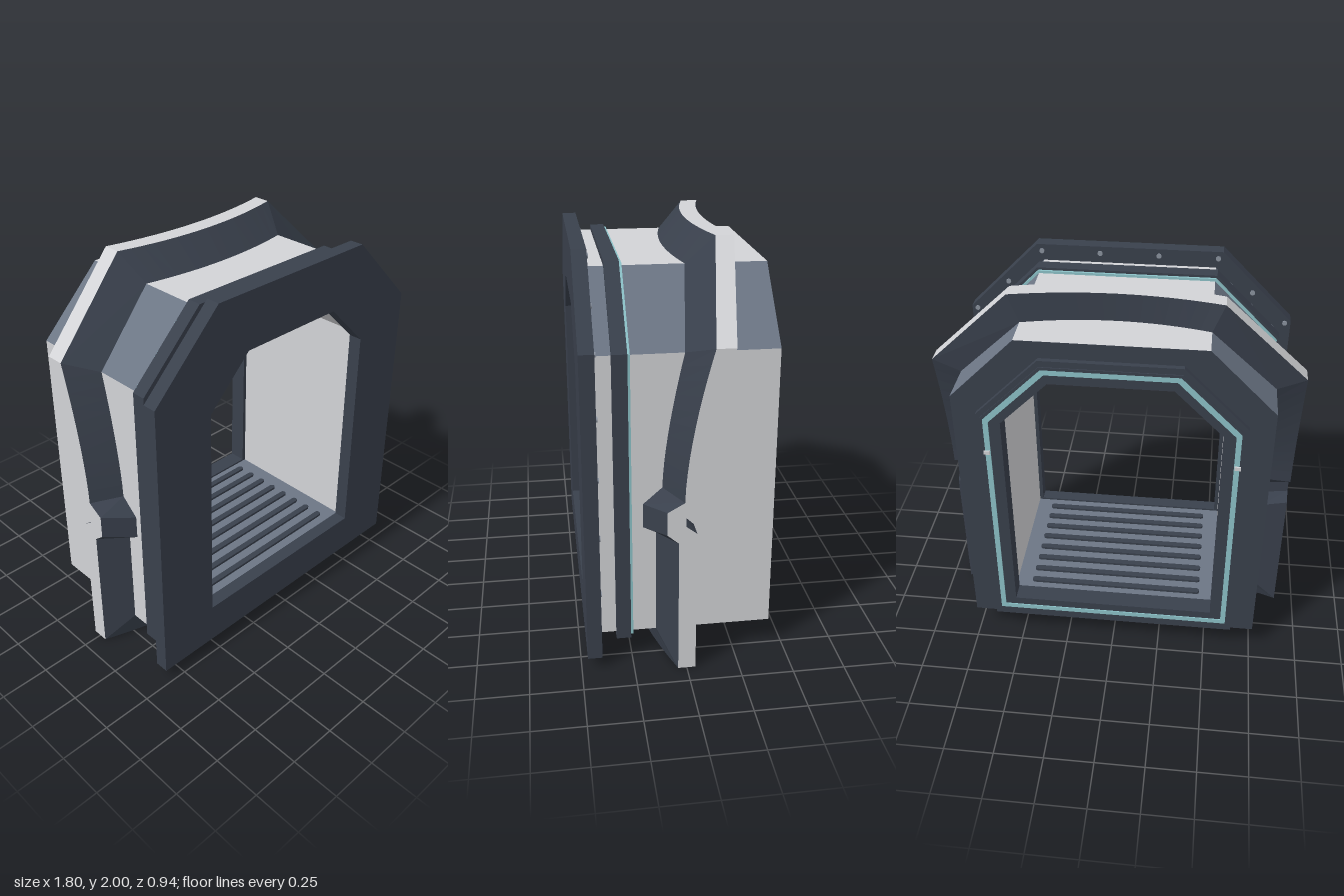
import * as THREE from 'three';

const mat = (name, color) => {
  const m = new THREE.MeshStandardMaterial({ color });
  m.name = name;
  return m;
};

// Chamfered doorway outline, counter-clockwise from bottom left
const outline = (w, y0, y1, c) => [
  [-w, y0], [w, y0], [w, y1 - c], [w - c, y1], [c - w, y1], [-w, y1 - c],
].map(([x, y]) => new THREE.Vector2(x, y));

// Flat-shaded surface between two rows of points
function strip(P, Q) {
  const pos = [];
  for (let i = 0; i < P.length - 1; i++) {
    for (const v of [P[i], Q[i], Q[i + 1], P[i], Q[i + 1], P[i + 1]]) pos.push(...v);
  }
  const g = new THREE.BufferGeometry();
  g.setAttribute('position', new THREE.Float32BufferAttribute(pos, 3));
  g.computeVertexNormals();
  return g;
}

export function createModel() {
  const model = new THREE.Group();
  const dark = mat('dark frame', 0x39404c);
  const light = mat('light panel', 0xd2d3d6);
  const slate = mat('slate panel', 0x6c7685);
  const cyan = mat('cyan seal', 0x8cc2c8);
  const bolt = mat('bolt grey', 0x8a929e);

  const add = (name, geo, material, parent = model) => {
    const m = new THREE.Mesh(geo, material);
    m.name = name;
    parent.add(m);
    return m;
  };

  // Flat ring from an outer and an inner outline
  const ring = (name, outer, inner, z0, z1, material) => {
    const s = new THREE.Shape(outer);
    s.holes.push(new THREE.Path(inner));
    const g = new THREE.ExtrudeGeometry(s, { depth: z1 - z0, bevelEnabled: false });
    return add(name, g.translate(0, 0, z0), material);
  };

  const bodyLine = outline(0.76, 0.14, 1.865, 0.32);
  const doorLine = outline(0.525, 0.27, 1.66, 0.235);
  const wallLine = outline(0.545, 0.26, 1.68, 0.24);

  // Tunnel skin: one panel for each side of the outline
  const panels = (name, line, zA, zB, mats) => {
    const group = new THREE.Group();
    group.name = name;
    model.add(group);
    line.forEach((a, i) => {
      const b = line[(i + 1) % line.length];
      const row = z => [[a.x, a.y, z], [b.x, b.y, z]];
      add(name + 'Panel', strip(row(zA), row(zB)), mats[i], group);
    });
  };
  panels('outerShell', bodyLine, 0.4, -0.43, [dark, light, slate, light, slate, light]);
  panels('innerLining', wallLine, -0.36, 0.4, [slate, light, light, light, light, light]);

  // Frames and seals at both ends
  ring('frontFrame', outline(0.845, 0.055, 1.95, 0.37), doorLine, 0.4, 0.47, dark);
  ring('frontCollar', outline(0.785, 0.115, 1.89, 0.335), bodyLine, 0.255, 0.325, dark);
  ring('frontSeal', outline(0.772, 0.128, 1.878, 0.328), bodyLine, 0.243, 0.255, cyan);
  ring('rearFrame', outline(0.759, 0.141, 1.864, 0.32), doorLine, -0.43, -0.36, dark);
  ring('rearTrim', outline(0.64, 0.15, 1.78, 0.31), doorLine, -0.455, -0.43, dark);
  const sealOut = outline(0.608, 0.2, 1.735, 0.29);
  ring('rearLip', outline(0.622, 0.186, 1.749, 0.297), sealOut, -0.46, -0.455, dark);
  ring('rearSeal', sealOut, outline(0.582, 0.226, 1.709, 0.279), -0.46, -0.455, cyan);

  // Floor treads with rounded ends, running across the tunnel
  const tread = new THREE.Shape();
  tread.absarc(0.445, 0, 0.016, -Math.PI / 2, Math.PI / 2);
  tread.absarc(-0.445, 0, 0.016, Math.PI / 2, Math.PI * 1.5);
  const treadGeo = new THREE.ExtrudeGeometry(tread, { depth: 0.013, bevelEnabled: false, curveSegments: 6 });
  treadGeo.rotateX(-Math.PI / 2);
  for (let i = 0; i < 8; i++) add('floorTread', treadGeo, dark).position.set(0, 0.261, -0.3 + i * 0.09);

  // Flared hull collar: half stations [outerX, outerY, innerX, innerY, outerFront, outerBack, innerFront]
  const half = [];
  for (let i = 0; i <= 10; i++) {
    const t = i / 10, q = t * t;
    half.push([0.9 * t, 0, 0.76 * t, 0.14, 0.21 - 0.168 * q, 0.125 - 0.167 * q, 0.25 - 0.12 * q]);
  }
  // notch in the side
  for (const [y, yi, of, ob, inf] of [
    [0.68, 0.67, 0.042, -0.042, 0.13], [0.725, 0.7, 0.095, -0.042, 0.19],
    [0.765, 0.75, 0.095, 0.01, 0.19], [0.84, 0.82, 0.095, 0.01, 0.19],
  ]) half.push([0.9, y, 0.76, yi, of, ob, inf]);
  // swept upper side
  for (let i = 0; i <= 10; i++) {
    const s = i / 10, p = s ** 1.6;
    half.push([0.9, 0.885 + 0.715 * s, 0.76, 0.9 + 0.645 * s,
      0.016 - 0.126 * p, -0.065 - 0.135 * p, 0.1 - 0.1 * s ** 1.5]);
  }
  // top edge, bowed forward at the middle
  for (let i = 0; i <= 8; i++) {
    const u = 1 - i / 8, q = u * u;
    half.push([0.495 * u, 2, 0.44 * u, 1.865, -0.11 - 0.065 * q, -0.2 - 0.06 * q, -0.045 * q]);
  }
  const mirrored = half.slice(0, -1).reverse().map(([ox, oy, ix, iy, ...z]) => [-ox, oy, -ix, iy, ...z]);
  const loop = [...half, ...mirrored];
  const innerFront = loop.map(s => [s[2], s[3], s[6]]);
  const outerFront = loop.map(s => [s[0], s[1], s[4]]);
  const outerBack = loop.map(s => [s[0], s[1], s[5]]);
  const innerBack = loop.map(s => [s[2], s[3], s[5] - 0.006]);
  add('hullCollarFront', strip(innerFront, outerFront), dark);
  add('hullCollarRim', strip(outerFront, outerBack), light);
  add('hullCollarBack', strip(outerBack, innerBack), dark);

  // Bolts on the back of the front frame, and small latches beside the rear seal
  const boltGeo = new THREE.CylinderGeometry(0.013, 0.013, 0.008, 10).rotateX(Math.PI / 2);
  const latchGeo = new THREE.BoxGeometry(0.03, 0.02, 0.012);
  for (const side of [-1, 1]) {
    for (const [x, y] of [[0.815, 0.39], [0.815, 0.685], [0.815, 0.98], [0.815, 1.275],
      [0.815, 1.57], [0.635, 1.735], [0.45, 1.915], [0.15, 1.915]]) {
      add('frameBolt', boltGeo, bolt).position.set(side * x, y, 0.397);
    }
    add('sealLatch', latchGeo, light).position.set(side * 0.6, 1.255, -0.462);
  }
  return model;
}
